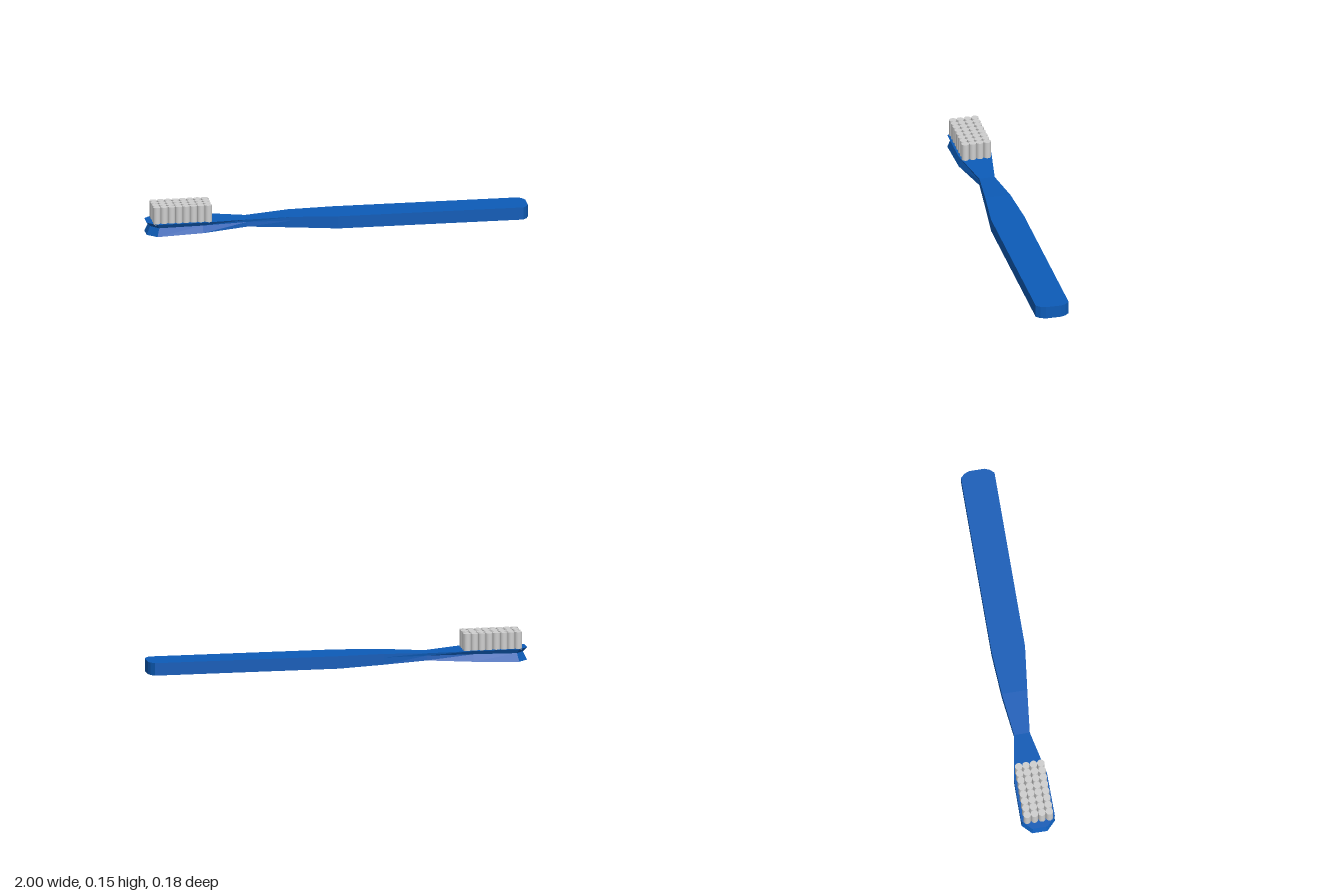
import * as THREE from 'three';

const blue = new THREE.MeshStandardMaterial({ color: 0x0d5cb8 });
blue.name = 'blue plastic';
const grey = new THREE.MeshStandardMaterial({ color: 0xcfcfcf });
grey.name = 'bristle grey';

// Handle stations: x, back z, front z, bottom y, top y, side groove depth, end groove depth
const STATIONS = [
  [-1.0, -0.04, 0.04, 0, 0.066, 0.01, 0.02],
  [-0.95, -0.088, 0.088, 0, 0.066, 0.013, 0.01],
  [-0.71, -0.088, 0.086, 0.009, 0.066, 0.012, 0],
  [-0.47, -0.047, 0.035, 0.017, 0.055, 0.002, 0],
  [-0.24, -0.074, 0.06, 0.009, 0.066, 0, 0],
  [0.0, -0.088, 0.088, 0, 0.066, 0, 0],
  [0.97, -0.088, 0.088, 0, 0.066, 0, 0],
  [0.99, -0.066, 0.066, 0, 0.066, 0, 0],
  [1.0, -0.04, 0.04, 0, 0.066, 0, 0],
];

// Six-point section whose middle pair is pulled in to form the groove
function section([x, back, front, y0, y1, inset, endInset]) {
  const ym = y0 + (y1 - y0) * 0.66;
  return [
    [x, y0, back], [x, y0, front],
    [x + endInset, ym, front - inset],
    [x, y1, front], [x, y1, back],
    [x + endInset, ym, back + inset],
  ];
}

function handleGeometry() {
  const rings = STATIONS.map(section);
  const pos = [];
  const tri = (a, b, c) => pos.push(...a, ...b, ...c);
  for (let s = 0; s < rings.length - 1; s++) {
    const a = rings[s], b = rings[s + 1];
    for (let i = 0; i < 6; i++) {
      const j = (i + 1) % 6;
      tri(a[i], b[i], b[j]);
      tri(a[i], b[j], a[j]);
    }
  }
  // End caps
  const first = rings[0], last = rings[rings.length - 1];
  for (const [i, j, k] of [[1, 0, 5], [1, 5, 2], [2, 5, 4], [2, 4, 3]]) {
    tri(last[i], last[j], last[k]);
    tri(first[i], first[k], first[j]);
  }
  const g = new THREE.BufferGeometry();
  g.setAttribute('position', new THREE.Float32BufferAttribute(pos, 3));
  g.computeVertexNormals(); // unshared corners give flat facets
  return g;
}

export function createModel() {
  const model = new THREE.Group();
  model.name = 'toothbrush';

  const handle = new THREE.Mesh(handleGeometry(), blue);
  handle.name = 'handle';
  model.add(handle);

  // Bristle tufts, eight by four
  const bristles = new THREE.Group();
  bristles.name = 'bristles';
  const tuft = new THREE.CylinderGeometry(0.0195, 0.0195, 0.093, 16);
  for (let i = 0; i < 8; i++) {
    for (let j = 0; j < 4; j++) {
      const m = new THREE.Mesh(tuft, grey);
      m.name = 'bristleTuft';
      m.position.set(-0.95 + i * 0.0385, 0.1075, (j - 1.5) * 0.039);
      bristles.add(m);
    }
  }
  model.add(bristles);
  return model;
}
